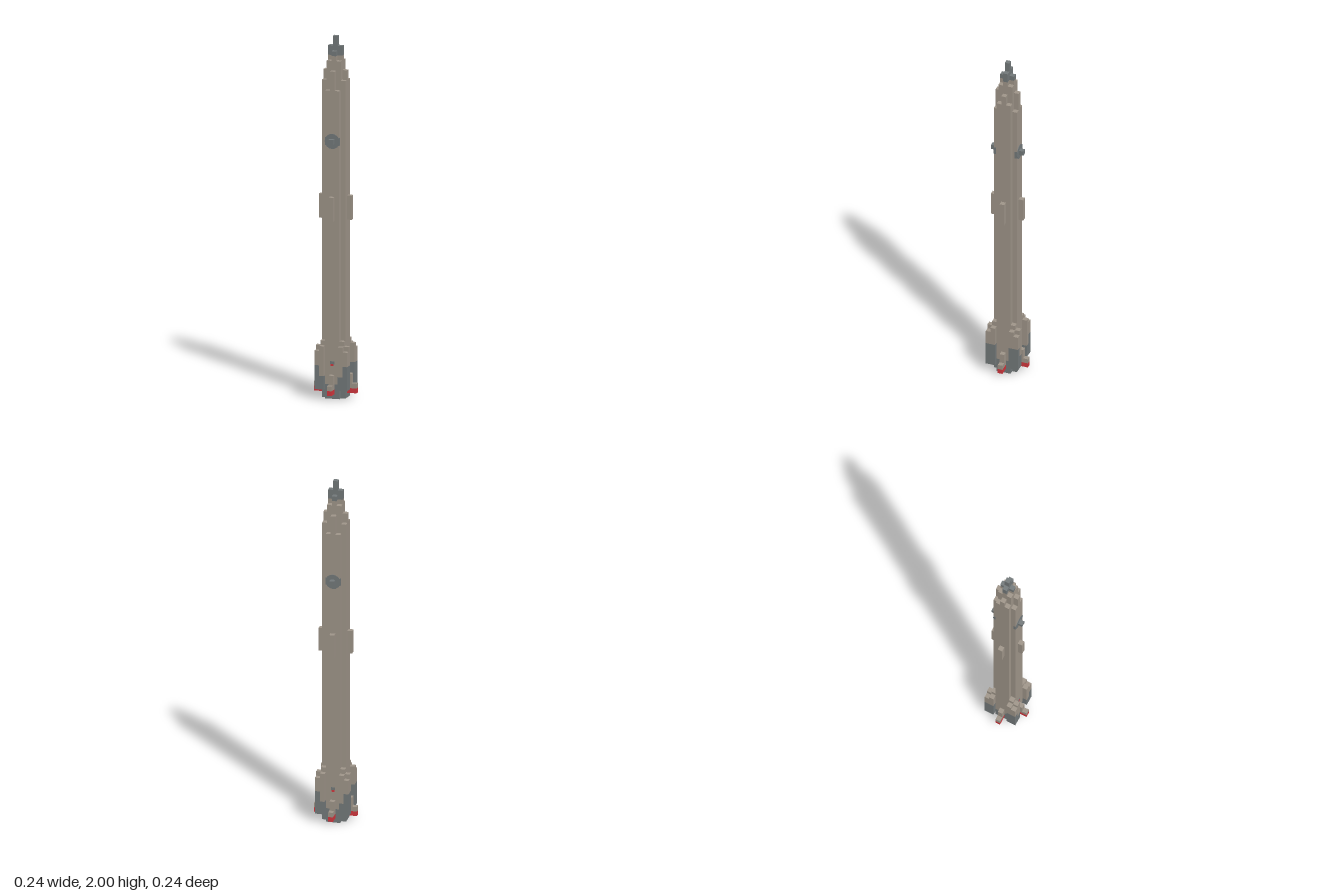
import * as THREE from 'three';

const U = 2 / 75; // one block

export function createModel() {
  const root = new THREE.Group();
  root.name = 'rocket';
  const mat = (name, color) => {
    const m = new THREE.MeshStandardMaterial({ color });
    m.name = name;
    return m;
  };
  const tan = mat('tan hull', 0xa0968a);
  const grey = mat('grey metal', 0x747a7b);
  const red = mat('red', 0xd4373e);

  // Box centred on (x, z), spanning y0..y1, all in blocks
  const block = (name, m, x, z, w, d, y0, y1) => {
    const mesh = new THREE.Mesh(new THREE.BoxGeometry(w * U, (y1 - y0) * U, d * U), m);
    mesh.position.set(x * U, ((y0 + y1) / 2) * U, z * U);
    mesh.name = name;
    root.add(mesh);
    return mesh;
  };
  const signs = [-1, 1];

  // Core and stepped nose
  block('core', tan, 0, 0, 3, 3, 1, 70);
  block('noseCrossX', tan, 0, 0, 3, 1, 70, 71);
  block('noseCrossZ', tan, 0, 0, 1, 3, 70, 71);
  block('noseTipX', grey, 0, 0, 3, 1, 71, 73);
  block('noseTipZ', grey, 0, 0, 1, 3, 71, 72);
  block('noseSpike', grey, 0, 0, 1, 1, 73, 75);

  for (const s of signs) {
    // Hull panels with a raised rib, and the open nozzle rim under them
    block('sidePanel', tan, 2 * s, 0, 1, 3, 3, 66);
    block('sideRib', tan, 2 * s, 0, 1, 1, 66, 68);
    block('sideNozzleRim', grey, 2 * s, 0, 1, 3, 0, 3);
    block('endPanel', tan, 0, 2 * s, 3, 1, 3, 64);
    block('endRib', tan, 0, 2 * s, 1, 1, 64, 68);
    block('endNozzleRim', grey, 0, 2 * s, 3, 1, 0, 3);

    // Middle fins
    block('sideMiddleFin', tan, 3 * s, 0, 1, 1, 37, 42);
    block('endMiddleFin', tan, 0, 3 * s, 1, 1, 37, 42);

    // Tail fins with red feet
    for (const [a, b] of [[s, 0], [0, s]]) {
      block('tailFin', tan, 3 * a, 3 * b, 1, 1, 2, 5);
      block('tailFinTip', tan, 4 * a, 4 * b, 1, 1, 2, 3);
      block('tailFoot', red, 3.5 * a, 3.5 * b, a ? 2 : 1, b ? 2 : 1, 1, 2);
    }

    // Knob on a round grey patch that wraps the panel edges
    block('knob', grey, 0, 3 * s, 1, 1, 53, 54);
    const patch = new THREE.Mesh(new THREE.CylinderGeometry(1.58 * U, 1.58 * U, 0.004, 16), grey);
    patch.rotation.x = Math.PI / 2;
    patch.position.set(0, 53.5 * U, 2.5 * U * s);
    patch.name = 'knobPatch';
    root.add(patch);
    block('knobPatchEdge', grey, 0, 2.28 * s, 3.06, 0.5, 52.7, 54.3);

    // Small marks above the tail fins
    block('greyMark', grey, 0, 2.5 * s, 0.9, 0.1, 7.2, 7.8);
    block('redMark', red, 0, 2.5 * s, 0.6, 0.12, 6.8, 7.2);

    // Corner boosters, scorched grey at the bottom and higher on the outside
    for (const t of signs) {
      block('boosterInner', tan, 2 * s, 2 * t, 1, 1, 4.5, 12);
      block('boosterInnerScorch', grey, 2 * s, 2 * t, 1, 1, 2, 4.5);
      block('boosterSide', tan, 3 * s, 2 * t, 1, 1, 7, 11);
      block('boosterSideScorch', grey, 3 * s, 2 * t, 1, 1, 2, 7);
      block('boosterEnd', tan, 2 * s, 3 * t, 1, 1, 4.8, 11);
      block('boosterEndScorch', grey, 2 * s, 3 * t, 1, 1, 2, 4.8);
      block('boosterCorner', tan, 3 * s, 3 * t, 1, 1, 7, 10);
      block('boosterCornerScorch', grey, 3 * s, 3 * t, 1, 1, 2, 7);
    }
  }
  return root;
}
